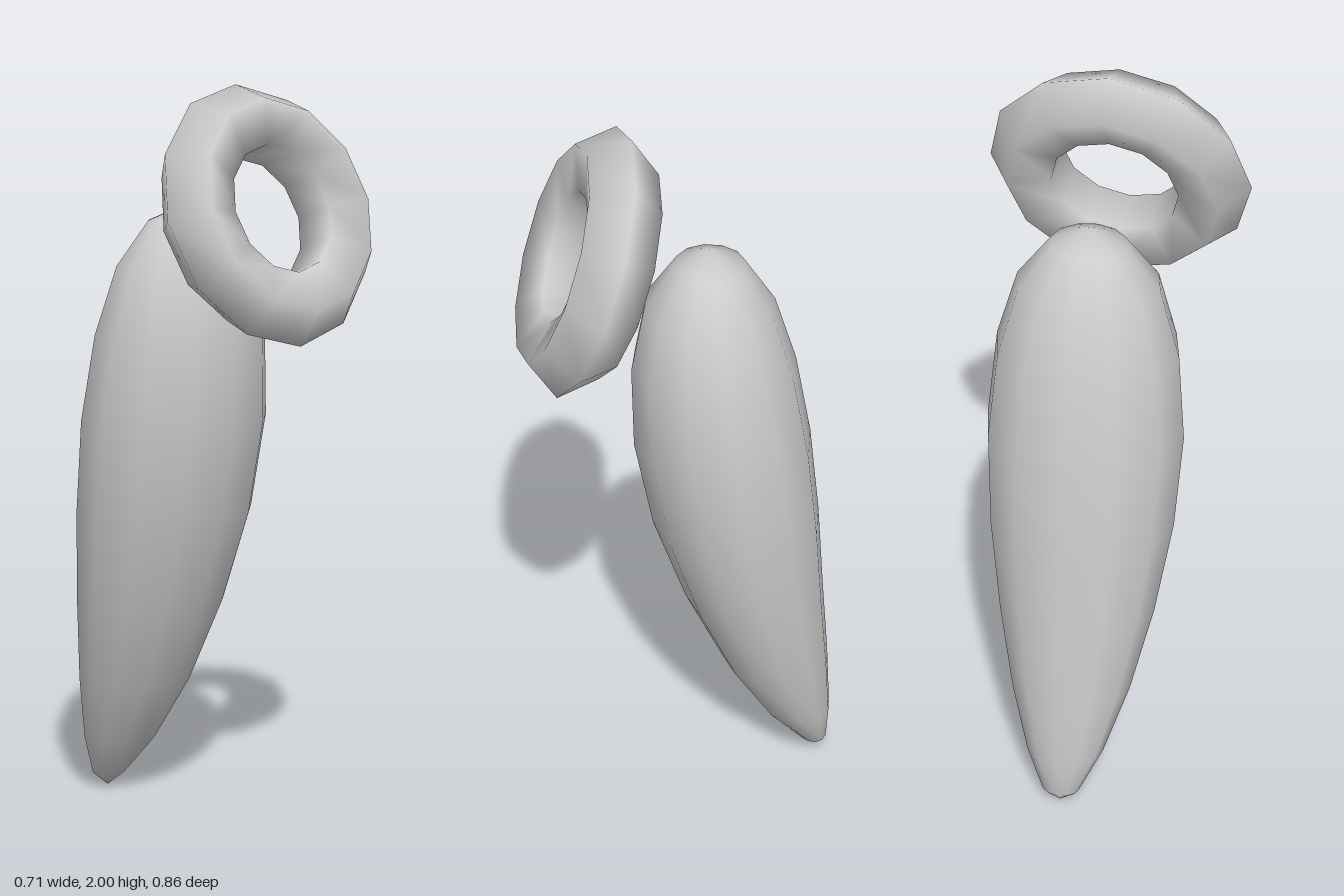
import * as THREE from 'three';
import { mergeVertices } from 'three/addons/utils/BufferGeometryUtils.js';

const grey = new THREE.MeshStandardMaterial({ color: 0xcccccc });
grey.name = 'light grey';

// Level rings of the body, top to bottom: [half width x, half depth z, centre z]
const RINGS = [
  [0, 0, -0.07],
  [0.1, 0.092, -0.073],
  [0.19, 0.172, -0.073],
  [0.245, 0.22, -0.085],
  [0.268, 0.24, -0.11],
  [0.255, 0.23, -0.15],
  [0.218, 0.195, -0.205],
  [0.168, 0.15, -0.27],
  [0.11, 0.096, -0.335],
  [0.053, 0.04, -0.385],
  [0, 0, -0.393],
];

// Tapered body: a sphere whose rings are resized and slid back towards the tip
function makeBody() {
  const sides = 12;
  const geometry = new THREE.SphereGeometry(1, sides, RINGS.length - 1);
  const pos = geometry.attributes.position;
  for (let i = 0; i < pos.count; i++) {
    const row = Math.floor(i / (sides + 1));
    const angle = ((i % (sides + 1)) % sides) / sides * Math.PI * 2;
    const [rx, rz, cz] = RINGS[row];
    const y = 0.84 + 0.838 * Math.cos(row / (RINGS.length - 1) * Math.PI);
    pos.setXYZ(i, -rx * Math.cos(angle), y, cz + rz * Math.sin(angle));
  }
  geometry.deleteAttribute('uv');
  geometry.deleteAttribute('normal');
  const welded = mergeVertices(geometry, 1e-4);
  welded.computeVertexNormals();
  const body = new THREE.Mesh(welded, grey);
  body.name = 'taperedBody';
  return body;
}

// Leaning ring in front of the top of the body
function makeRing() {
  const ring = new THREE.Mesh(new THREE.TorusGeometry(0.253, 0.101, 5, 12), grey);
  ring.name = 'ring';
  ring.position.set(0, 1.668, 0.246);
  ring.rotation.x = -THREE.MathUtils.degToRad(20);
  return ring;
}

export function createModel() {
  const model = new THREE.Group();
  model.name = 'ringAndTaperedBody';
  model.add(makeBody(), makeRing());
  return model;
}
